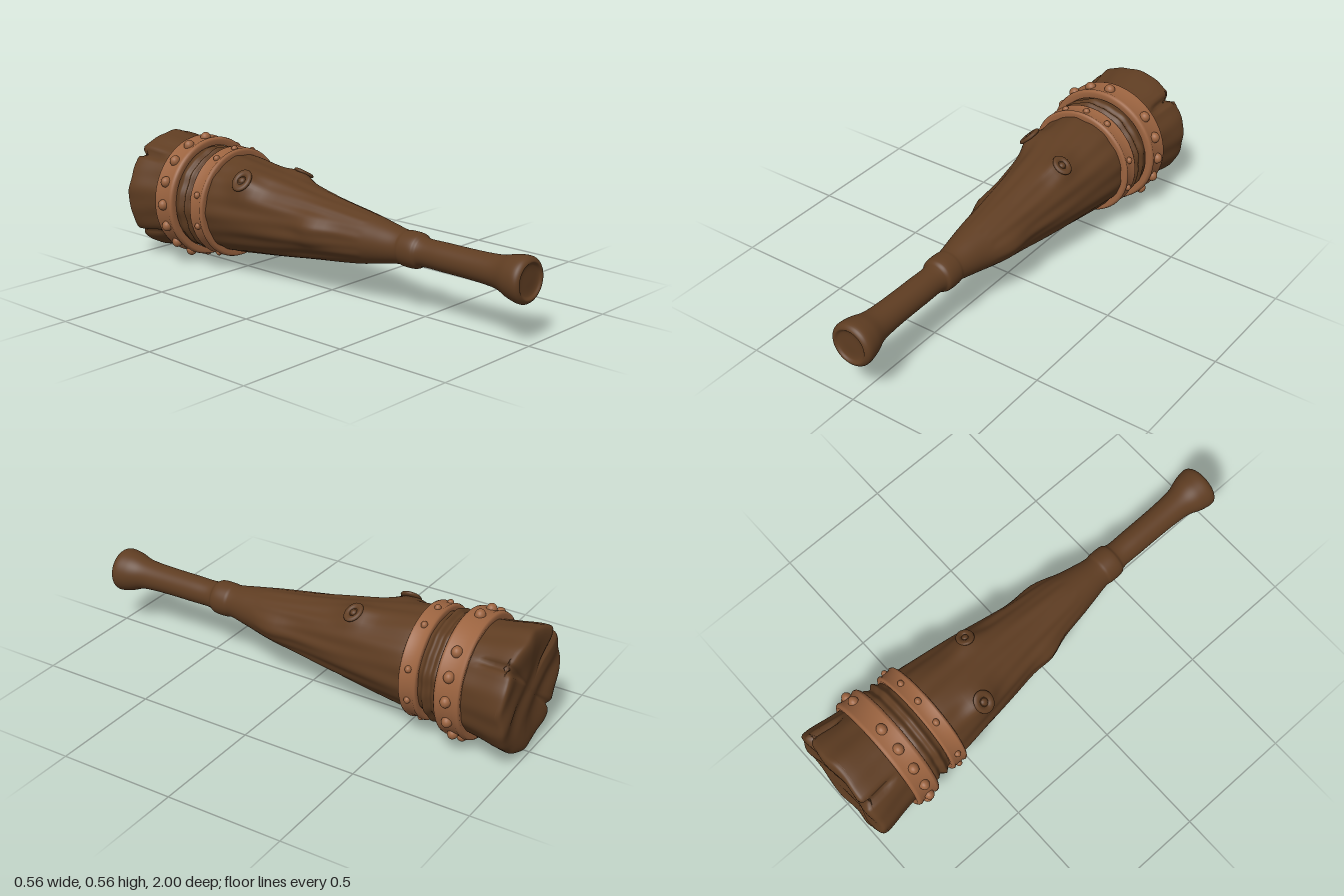
import * as THREE from 'three';

const wood = new THREE.MeshStandardMaterial({ color: 0x5f3d22 });
wood.name = 'dark wood';
const leather = new THREE.MeshStandardMaterial({ color: 0x9c6440 });
leather.name = 'tan strap';

const AXIS_Y = 0.282;

// Club outline from the grip end (+z) to the thick end (-z): z, radius, centre height
const OUTLINE = [
  [0.988, 0, 0.257], [0.99, 0.06, 0.257], [1, 0.075, 0.257], [0.985, 0.092, 0.257], [0.93, 0.087, 0.26],
  [0.87, 0.068, 0.264], [0.8, 0.061, 0.265], [0.6, 0.058, 0.266], [0.49, 0.06, 0.266],
  [0.47, 0.071, 0.266], [0.41, 0.073, 0.266], [0.39, 0.07, 0.267], [0.3, 0.086, 0.267],
  [0.2, 0.105, 0.266], [0, 0.134, 0.268], [-0.2, 0.166, 0.273], [-0.4, 0.195, 0.28],
  [-0.52, 0.21, 0.282], [-0.62, 0.214, 0.282], [-0.643, 0.232, 0.282], [-0.663, 0.217, 0.282],
  [-0.683, 0.229, 0.282], [-0.71, 0.222, 0.282], [-0.84, 0.237, 0.282], [-0.96, 0.257, 0.28],
  [-0.99, 0.253, 0.28], [-1, 0.225, 0.28], [-0.992, 0.12, 0.28], [-0.99, 0, 0.28],
];

// Swellings on the trunk: z, angle from the top towards +x, height, length, angular width
const SWELLINGS = [
  [-0.37, -0.77, 0.036, 0.07, 0.3],
  [-0.25, 0.52, 0.026, 0.065, 0.3],
  [0.0, -1.5, 0.026, 0.07, 0.45],
  [0.14, 1.6, 0.022, 0.09, 0.5],
];

// Splits in the thick end: angle, depth
const SPLITS = [[0.79, 0.035], [-0.75, 0.026], [-2.3, 0.02]];

const wrap = (a) => Math.atan2(Math.sin(a), Math.cos(a));
const bell = (d, w) => Math.exp(-((d / w) ** 2));

function trunkPoint(z, r, cy, a) {
  const s = THREE.MathUtils.smoothstep;
  const along = s(-z, -0.4, 0.1);
  let rad = r;
  let zz = z;
  if (z > -0.6 && z < 0.4) {
    for (const [bz, ba, h, l, w] of SWELLINGS) rad += h * bell(z - bz, l) * bell(wrap(a - ba), w);
  }
  // shallow grain running along the trunk
  if (r > 0.1) rad += 0.0025 * along * (Math.sin(9 * a + 5 * z) + 0.6 * Math.sin(17 * a - 7 * z));
  // splits and uneven end grain
  for (const [sa, depth] of SPLITS) {
    const cut = depth * bell(wrap(a - sa), 0.055) * s(-z, 0.81, 0.9);
    rad -= cut * s(r, 0.05, 0.2);
    if (z < -0.97) zz += cut * s(r, 0.05, 0.2) * 0.7;
  }
  const x = rad * Math.sin(a);
  const y = rad * Math.cos(a);
  if (z < -0.97) zz += 0.005 * (1 + Math.sin(30 * x + 12 * y + 2 * Math.sin(14 * y)));
  return [x, cy + y, zz];
}

function trunkGeometry() {
  const curve = new THREE.CatmullRomCurve3(OUTLINE.map((p) => new THREE.Vector3(...p)), false, 'centripetal');
  const rings = curve.getPoints(168);
  const n = 120;
  const pos = [];
  const idx = [];
  rings.forEach((p, i) => {
    for (let j = 0; j < n; j++) {
      pos.push(...trunkPoint(p.x, Math.max(p.y, 0), p.z, (j / n) * Math.PI * 2));
      if (i === rings.length - 1) continue;
      const k = (j + 1) % n;
      const a = i * n + j, b = i * n + k, c = a + n, d = b + n;
      idx.push(a, b, c, b, d, c);
    }
  });
  const g = new THREE.BufferGeometry();
  g.setAttribute('position', new THREE.Float32BufferAttribute(pos, 3));
  g.setIndex(idx);
  g.computeVertexNormals();
  return g;
}

function add(parent, name, geometry, material) {
  const mesh = new THREE.Mesh(geometry, material);
  mesh.name = name;
  parent.add(mesh);
  return mesh;
}

// Ring-shaped branch scar with a nub in the middle
function knot(name, z, a, r, size) {
  const g = new THREE.Group();
  g.name = name;
  const ring = add(g, 'knotRing', new THREE.TorusGeometry(size, size * 0.45, 12, 28), wood);
  ring.scale.set(1, 1.25, 0.7);
  add(g, 'knotNub', new THREE.SphereGeometry(size * 0.55, 18, 12), wood).scale.z = 0.7;
  const dir = new THREE.Vector3(Math.sin(a), Math.cos(a), 0.12);
  g.position.set(r * Math.sin(a), 0.277 + r * Math.cos(a), z);
  g.lookAt(g.position.clone().add(dir));
  return g;
}

// Strap around the trunk with raised rims and domed studs
function strap(name, z, half, r, studAngles, studSize) {
  const g = new THREE.Group();
  g.name = name;
  g.position.set(0, AXIS_Y, z);
  const profile = [
    [-0.035, -0.9], [-0.012, -1], [-0.003, -0.88], [0, -0.68], [-0.006, -0.45], [-0.006, 0.45],
    [0, 0.68], [-0.003, 0.88], [-0.012, 1], [-0.035, 0.9],
  ].map(([dr, t]) => new THREE.Vector2(r + dr, t * half));
  add(g, 'strapBand', new THREE.LatheGeometry(profile, 80).rotateX(Math.PI / 2), leather);
  const dome = new THREE.SphereGeometry(studSize, 18, 12);
  for (const a of studAngles) {
    const stud = add(g, 'stud', dome, leather);
    stud.position.set((r - 0.006) * Math.sin(a), (r - 0.006) * Math.cos(a), 0);
    stud.scale.set(1, 1, 0.9);
  }
  return g;
}

export function createModel() {
  const club = new THREE.Group();
  club.name = 'club';
  add(club, 'trunk', trunkGeometry(), wood);

  club.add(knot('rightKnot', -0.37, -0.77, 0.222, 0.03));
  club.add(knot('leftKnot', -0.25, 0.52, 0.193, 0.026));

  // Wide strap: sixteen places, one stud lost
  const wide = [];
  for (let i = 0; i < 16; i++) if (i !== 1) wide.push((i * Math.PI) / 8);
  club.add(strap('wideStrap', -0.755, 0.056, 0.262, wide, 0.024));

  // Narrow strap: smaller studs, mirrored left and right
  const narrow = [0, Math.PI];
  for (const d of [27, 73, 107, 154]) narrow.push(THREE.MathUtils.degToRad(d), -THREE.MathUtils.degToRad(d));
  club.add(strap('narrowStrap', -0.573, 0.04, 0.239, narrow, 0.015));
  return club;
}
